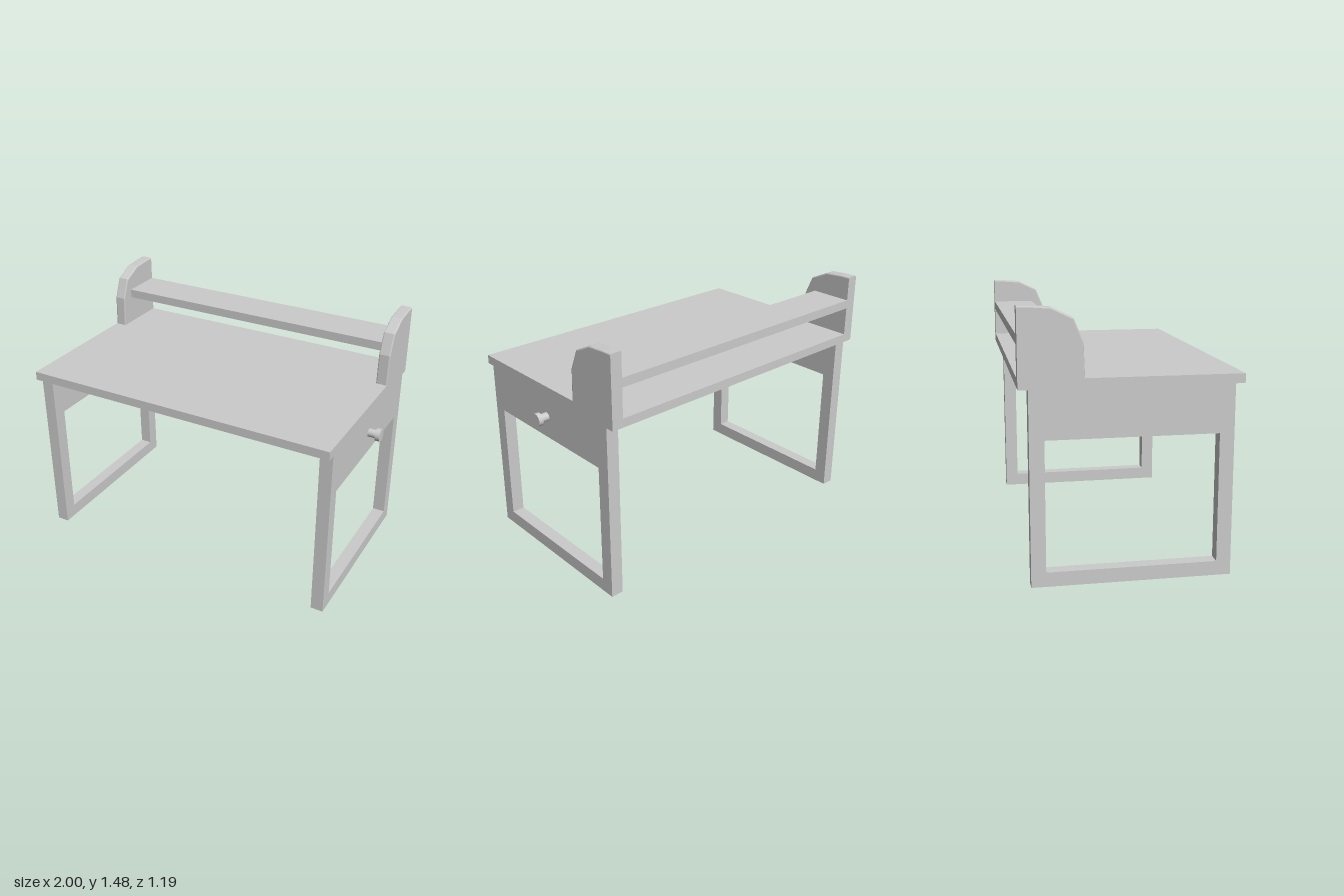
import * as THREE from 'three';

const material = new THREE.MeshStandardMaterial({ color: 0xcccccc, flatShading: true });
const smooth = new THREE.MeshStandardMaterial({ color: 0xcccccc });
const LEFT = 0.925, RIGHT = -1, MID = (LEFT + RIGHT) / 2;

function add(group, name, geometry, x, y, z, mat = material) {
  const mesh = new THREE.Mesh(geometry, mat);
  mesh.name = name;
  mesh.position.set(x, y, z);
  group.add(mesh);
  return mesh;
}

// Extrudes a (z, y) outline along x, centred on x = 0
function sidePanel(shape, width, bevel = 0) {
  const geometry = new THREE.ExtrudeGeometry(shape, {
    depth: width - 2 * bevel, bevelEnabled: bevel > 0, bevelThickness: bevel,
    bevelSize: bevel, bevelOffset: -bevel, bevelSegments: 2,
  });
  geometry.translate(0, 0, -(width - 2 * bevel) / 2);
  geometry.rotateY(-Math.PI / 2);
  return geometry;
}

function polygon(points) {
  return points.map(([z, y]) => new THREE.Vector2(z, y));
}

// Leg frame: deep apron on top, thin posts and a floor rail
function legGeometry() {
  const shape = new THREE.Shape(polygon([[-0.545, 0], [0.545, 0], [0.545, 1.062], [-0.545, 1.062]]));
  shape.holes.push(new THREE.Path(polygon([[-0.465, 0.08], [-0.465, 0.797], [0.465, 0.797], [0.465, 0.08]])));
  return sidePanel(shape, 0.075);
}

// Shelf end with a faceted, softened front edge and flat back and bottom
function shelfEndGeometry() {
  const shape = new THREE.Shape(polygon([
    [-0.64, 1.02], [-0.253, 1.02], [-0.253, 1.115], [-0.26, 1.3], [-0.31, 1.42],
    [-0.425, 1.475], [-0.535, 1.483], [-0.64, 1.484],
  ]));
  const geometry = sidePanel(shape, 0.069, 0.007);
  const p = geometry.attributes.position;
  for (let i = 0; i < p.count; i++) {
    p.setY(i, Math.max(p.getY(i), 1.1));
    p.setZ(i, Math.max(p.getZ(i), -0.597));
  }
  geometry.computeVertexNormals();
  return geometry;
}

export function createModel() {
  const desk = new THREE.Group();
  desk.name = 'desk';

  // Worktop and raised shelf
  add(desk, 'worktop', new THREE.BoxGeometry(LEFT - RIGHT, 0.052, 1.194), MID, 1.088, 0);
  add(desk, 'shelf', new THREE.BoxGeometry(LEFT - RIGHT - 0.13, 0.053, 0.257), MID, 1.3125, -0.4685);

  // Mirrored leg frames and shelf ends
  const leg = legGeometry(), shelfEnd = shelfEndGeometry();
  for (const side of [-1, 1]) {
    const label = side > 0 ? 'left' : 'right';
    const edge = side > 0 ? LEFT : RIGHT;
    add(desk, label + 'LegFrame', leg, edge - side * 0.0375, 0, 0);
    add(desk, label + 'ShelfEnd', shelfEnd, edge - side * 0.0345, 0, 0);
  }

  // Round peg on the left apron
  const peg = new THREE.Group();
  peg.name = 'peg';
  peg.position.set(LEFT, 0.928, 0);
  peg.rotation.z = -Math.PI / 2;
  add(peg, 'pegStem', new THREE.CylinderGeometry(0.025, 0.025, 0.055, 32), 0, 0.0225, 0, smooth);
  add(peg, 'pegCap', new THREE.CylinderGeometry(0.038, 0.038, 0.028, 32), 0, 0.061, 0, smooth);
  desk.add(peg);

  return desk;
}
